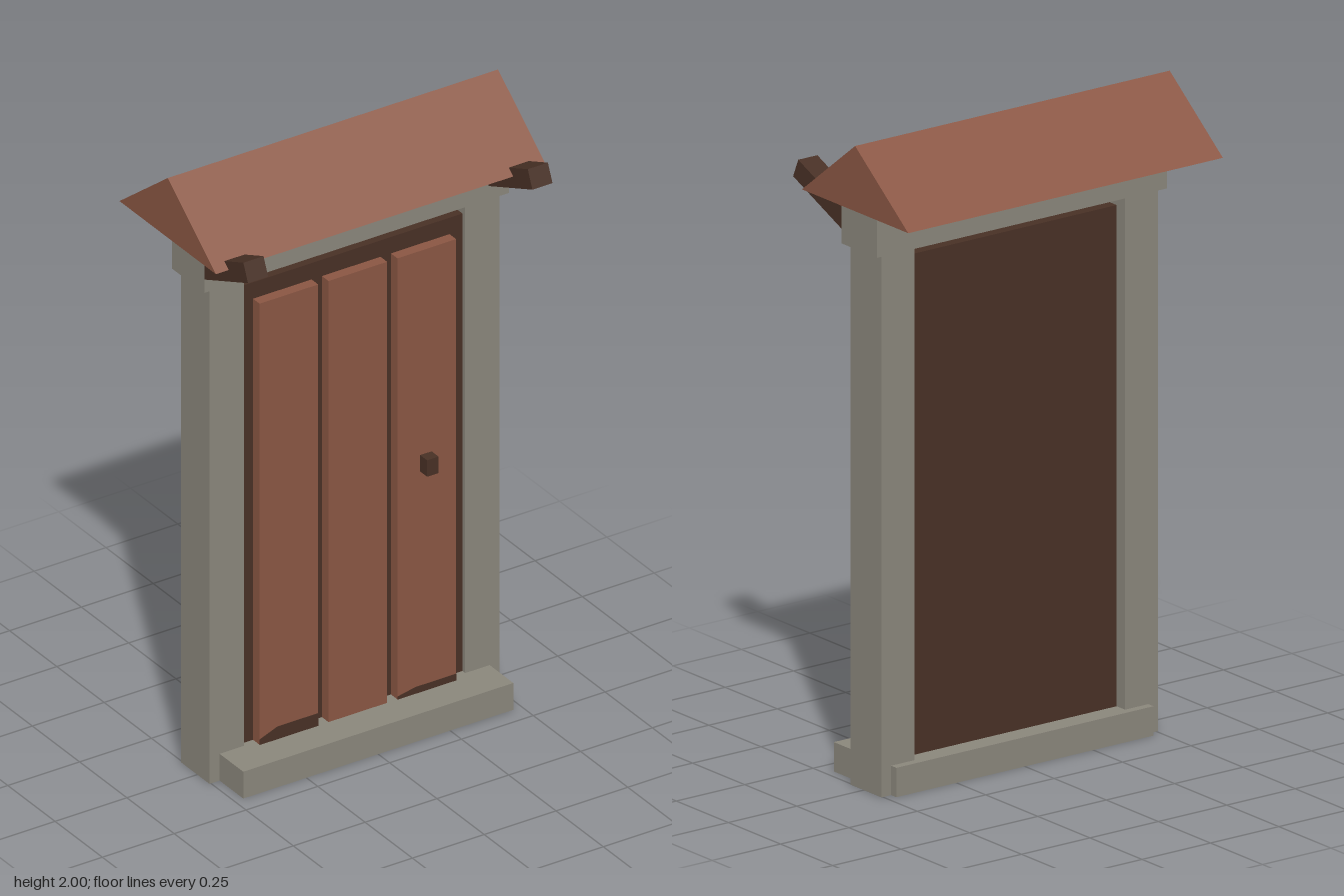
import * as THREE from 'three';

const mat = (name, color) => Object.assign(new THREE.MeshStandardMaterial({ color }), { name });

export function createModel() {
  const stone = mat('stone', 0x8a867b);
  const wood = mat('red wood', 0x8a5643);
  const dark = mat('dark wood', 0x483025);
  const model = new THREE.Group();
  model.name = 'doorway';

  const add = (name, geometry, material) => {
    const mesh = new THREE.Mesh(geometry, material);
    mesh.name = name;
    model.add(mesh);
    return mesh;
  };
  // Box given by its lower and upper limits on each axis
  const box = (name, material, [x0, x1], [y0, y1], [z0, z1]) => {
    const mesh = add(name, new THREE.BoxGeometry(x1 - x0, y1 - y0, z1 - z0), material);
    mesh.position.set((x0 + x1) / 2, (y0 + y1) / 2, (z0 + z1) / 2);
    return mesh;
  };
  const plate = (points, depth) => new THREE.ExtrudeGeometry(
    new THREE.Shape(points.map(([x, y]) => new THREE.Vector2(x, y))),
    { depth, bevelEnabled: false });

  // Stone frame
  box('sill', stone, [-0.47, 0.47], [0, 0.09], [-0.11, 0.19]);
  box('lintel', stone, [-0.53, 0.53], [1.66, 1.799], [-0.095, 0.075]);
  for (const [side, s] of [['left', 1], ['right', -1]]) {
    const post = box(side + 'Post', stone, [0.385, 0.505], [0, 1.66], [-0.085, 0.065]);
    post.position.x *= s;

    // Slanted beam below the roof
    const beam = add(side + 'Beam', new THREE.BoxGeometry(0.07, 0.062, 0.294), dark);
    beam.position.set(s * 0.495, 1.775, 0.159);
    beam.rotation.x = -0.405;
  }

  // Door slab, planks and handle
  box('doorSlab', dark, [-0.385, 0.385], [0.003, 1.625], [-0.045, 0.05]);
  for (const x of [-0.242, -0.002, 0.238]) {
    box('plank', wood, [x - 0.102, x + 0.102], [0.05, 1.57], [0.045, 0.085]);
  }
  box('handle', dark, [0.215, 0.255], [0.83, 0.885], [0.08, 0.122]);

  // Worn patches at the foot of the outer planks
  for (const [x, low, high] of [[-0.242, 0.108, 0.132], [0.238, 0.1, 0.112]]) {
    const front = add('wornFoot', plate([
      [-0.102, 0.08], [0.102, 0.08], [0.102, high], [-0.04, high], [-0.102, low],
    ], 0.002), dark);
    front.position.set(x, 0, 0.0845);
    const edge = add('wornEdge', plate([[-0.085, 0.08], [-0.05, 0.08], [-0.05, 0.28]], 0.002), dark);
    edge.rotation.y = Math.PI / 2;
    edge.position.x = x + 0.1015;
  }

  // Gabled roof, its profile drawn across z and swept along x
  const roof = add('roof', plate([[-0.205, 1.8], [0.305, 1.8], [0.05, 2]], 1.15), wood);
  roof.rotation.y = Math.PI / 2;
  roof.position.x = -0.575;

  return model;
}
